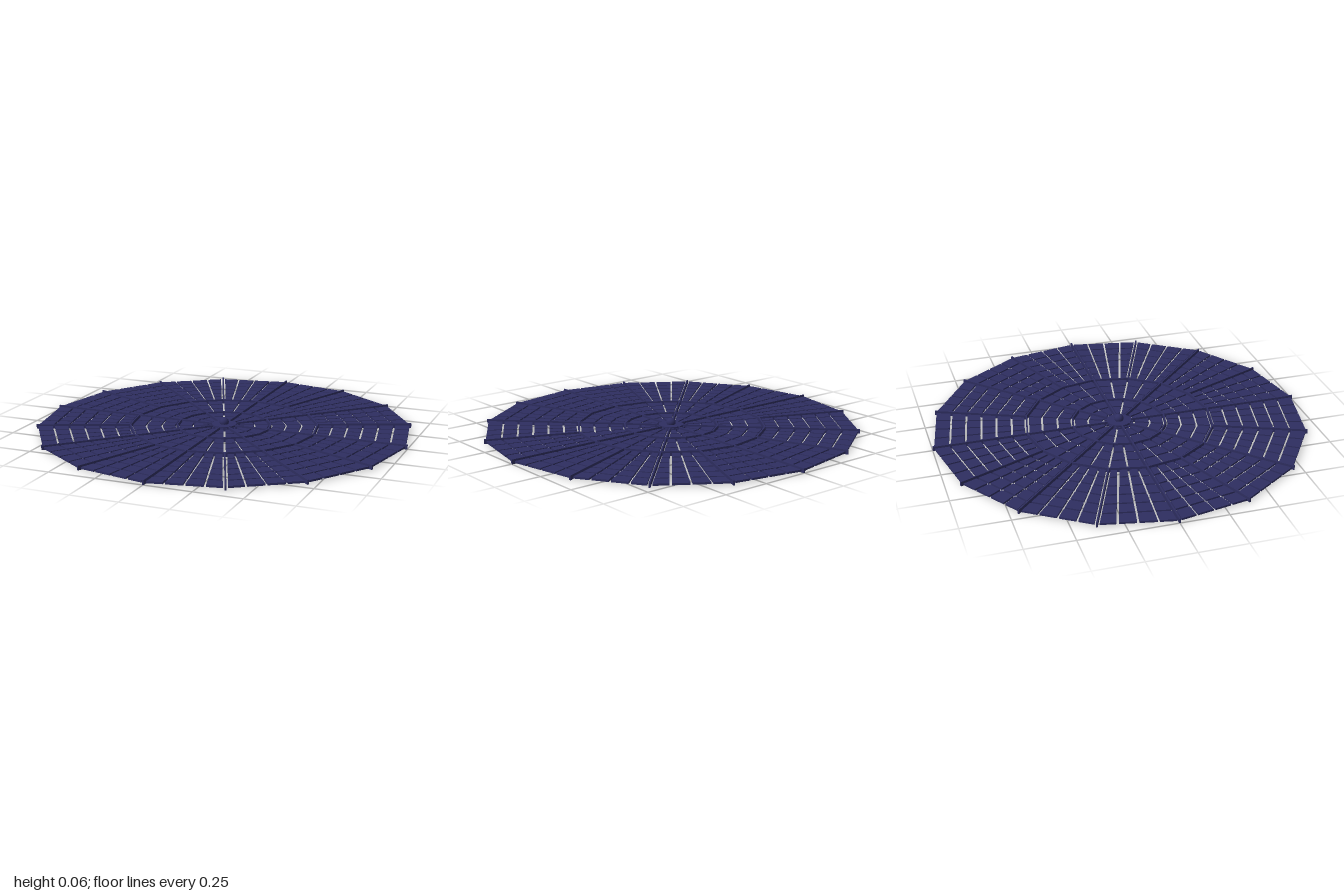
import * as THREE from 'three';
import { mergeGeometries } from 'three/addons/utils/BufferGeometryUtils.js';

const SIDES = 16;
const STEP = (Math.PI * 2) / SIDES;
const COS = Math.cos(STEP / 2), TAN = Math.tan(STEP / 2);
const GAP = 0.0055;        // half the gap between two plain panels
const BEAM_GAP = 0.0125;   // distance from a panel edge to a beam's centre line
const BEAM_W = 0.008, BEAM_H = 0.024;
const PANEL_Y = 0.007, PANEL_T = 0.010;

// Zones of the disc: corner radii, rows and columns in each of the 16 sectors
const zones = [
  { name: 'innerPanels', r0: 0, r1: 0.25, rows: 3, cols: 1, everySpoke: false },
  { name: 'middlePanels', r0: 0.25, r1: 0.5, rows: 3, cols: 2, everySpoke: false },
  { name: 'outerPanels', r0: 0.5, r1: 0.992, rows: 6, cols: 4, everySpoke: true },
];

// One flat trapezoid panel, d measured from the centre across the sector
function panel(d0, d1, f0, f1, m0, m1) {
  const v = (d, f, m) => d * TAN * (2 * f - 1) + m;
  const shape = new THREE.Shape([
    new THREE.Vector2(d0, v(d0, f0, m0)),
    new THREE.Vector2(d1, v(d1, f0, m0)),
    new THREE.Vector2(d1, v(d1, f1, -m1)),
    new THREE.Vector2(d0, v(d0, f1, -m1)),
  ]);
  const g = new THREE.ExtrudeGeometry(shape, { depth: PANEL_T, bevelEnabled: false });
  return g.rotateX(-Math.PI / 2).translate(0, PANEL_Y, 0);
}

// All the panels of one zone
function zonePanels({ r0, r1, rows, cols, everySpoke }) {
  const parts = [];
  for (let k = 0; k < SIDES; k++) {
    const lowSpoke = everySpoke || k % 2 === 0;
    const highSpoke = everySpoke || k % 2 === 1;
    for (let i = 0; i < rows; i++) {
      let d0 = (r0 + ((r1 - r0) * i) / rows) * COS;
      let d1 = (r0 + ((r1 - r0) * (i + 1)) / rows) * COS;
      d0 = r0 === 0 && i === 0 ? 0.062 : d0 + (i === 0 ? BEAM_GAP : GAP);
      d1 -= i < rows - 1 ? GAP : r1 > 0.9 ? 0 : BEAM_GAP;
      for (let j = 0; j < cols; j++) {
        const m0 = j === 0 && lowSpoke ? BEAM_GAP : GAP;
        const m1 = j === cols - 1 && highSpoke ? BEAM_GAP : GAP;
        parts.push(panel(d0, d1, j / cols, (j + 1) / cols, m0, m1).rotateY((k + 0.5) * STEP));
      }
    }
  }
  return mergeGeometries(parts);
}

// Spokes: eight full length, eight in the outer zone only
function spokes() {
  const parts = [];
  for (let k = 0; k < SIDES; k++) {
    const start = k % 2 ? 0.5 : 0.03;
    parts.push(new THREE.BoxGeometry(1 - start, BEAM_H, BEAM_W)
      .translate((1 + start) / 2, BEAM_H / 2, 0).rotateY(k * STEP));
  }
  return mergeGeometries(parts);
}

// Sixteen-sided ring beam
function ringBeam(r) {
  const parts = [];
  for (let k = 0; k < SIDES; k++) {
    parts.push(new THREE.BoxGeometry(BEAM_W, BEAM_H, 2 * r * COS * TAN)
      .translate(r * COS, BEAM_H / 2, 0).rotateY((k + 0.5) * STEP));
  }
  return mergeGeometries(parts);
}

export function createModel() {
  const model = new THREE.Group();
  model.name = 'panelDisc';
  const navy = new THREE.MeshStandardMaterial({ color: 0x2e2e60 });
  navy.name = 'navy';
  const add = (name, geometry) => {
    const mesh = new THREE.Mesh(geometry, navy);
    mesh.name = name;
    model.add(mesh);
  };

  // Panels
  for (const zone of zones) add(zone.name, zonePanels(zone));

  // Frame
  add('spokes', spokes());
  add('innerRingBeam', ringBeam(0.25));
  add('middleRingBeam', ringBeam(0.5));

  // Hub and its ball
  add('hub', new THREE.CylinderGeometry(0.066, 0.066, 0.025, 16).translate(0, 0.0125, 0));
  add('hubBall', new THREE.SphereGeometry(0.025, 16, 12).translate(0, 0.035, 0));
  return model;
}
